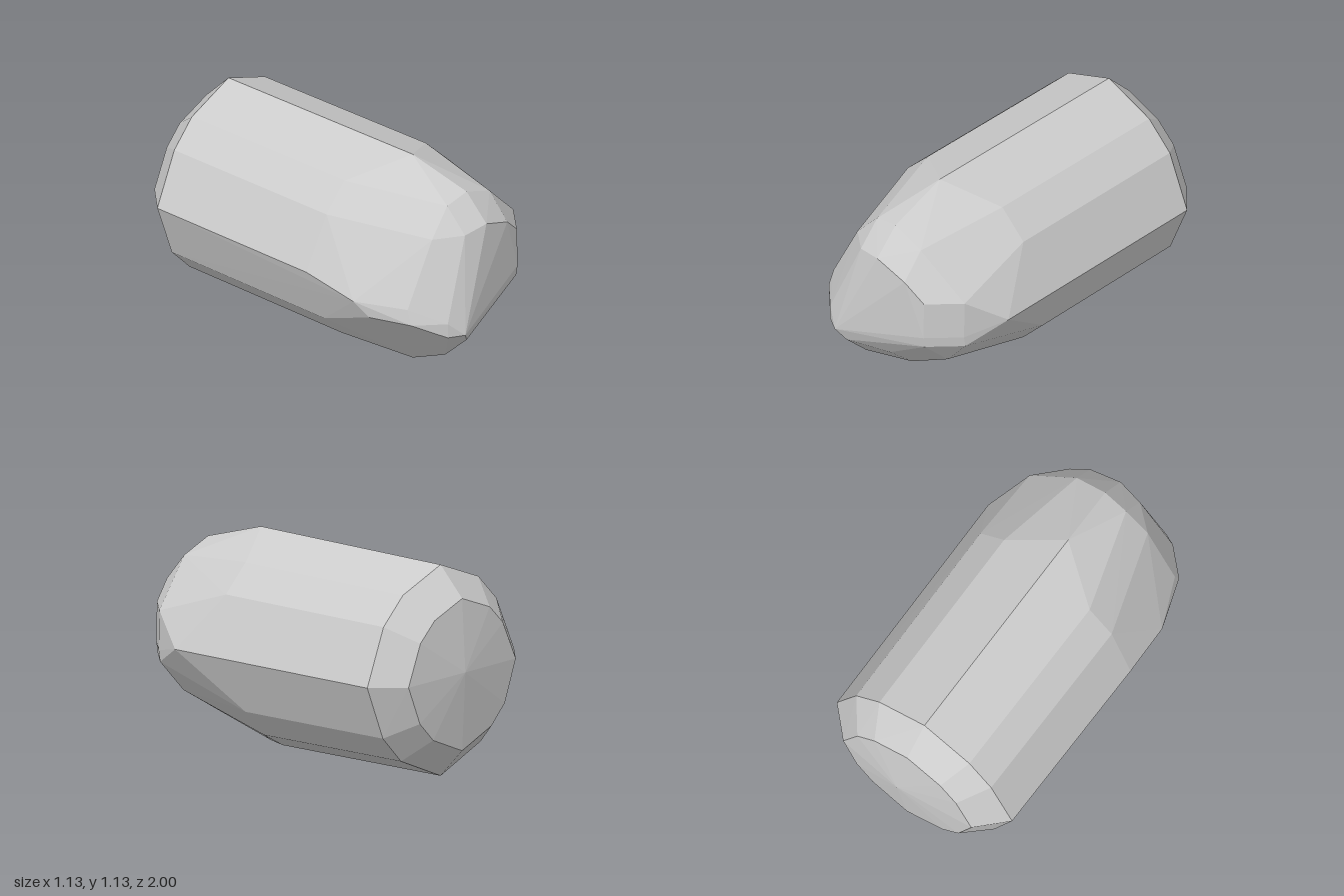
import * as THREE from 'three';
import { ConvexGeometry } from 'three/addons/geometries/ConvexGeometry.js';

// Body cross-section: x, y, and the z where each long edge ends at the nose
const section = [
  [0, 1.13, 0.45], [0.29, 1.015, 0.29], [0.44, 0.87, 0.29], [0.565, 0.565, 0.53],
  [0.445, 0.275, 0.15], [0.305, 0.13, 0.15], [0, 0.002, 0.3], [-0.31, 0.135, 0.24],
  [-0.45, 0.28, 0.24], [-0.565, 0.59, 0.22], [-0.43, 0.88, 0.24], [-0.29, 1.02, 0.24],
];

// Facet corners of the blunt, lopsided nose
const nose = [
  // crown
  [0.02, 1.03, 0.8], [0.02, 0.89, 0.935], [0.2, 0.96, 0.8], [0.2, 0.82, 0.92],
  [-0.12, 1.0, 0.79], [-0.12, 0.87, 0.91], [-0.25, 0.86, 0.8],
  // left cheek
  [0.31, 0.72, 0.89], [0.31, 0.51, 0.895], [0.31, 0.45, 0.885],
  [0.455, 0.72, 0.74], [0.455, 0.51, 0.745], [0.455, 0.45, 0.735],
  // right cheek
  [-0.545, 0.52, 0.52], [-0.43, 0.52, 0.79], [-0.435, 0.44, 0.82],
  [-0.51, 0.44, 0.6], [-0.3, 0.44, 0.95],
  // tip and chin
  [-0.22, 0.36, 1], [-0.3, 0.36, 0.95], [-0.17, 0.3, 0.965], [-0.17, 0.16, 0.82],
  [0.04, 0.27, 0.86], [0.04, 0.13, 0.7], [0.305, 0.28, 0.71],
  [-0.17, 0.062, 0.6], [-0.02, 0.01, 0.4],
];

export function createModel() {
  const group = new THREE.Group();
  const points = nose.map((p) => new THREE.Vector3(...p));
  const midY = 0.565;
  for (const [x, y, z] of section) {
    // Long edge, from the nose back to the shoulder
    points.push(new THREE.Vector3(x, y, z));
    points.push(new THREE.Vector3(x * 0.985, midY + (y - midY) * 0.985, -0.8));
    // Bevelled rear rim
    points.push(new THREE.Vector3(x * 0.72, midY + (y - midY) * 0.71, -0.95));
  }
  // Shallow peak of the rear face
  points.push(new THREE.Vector3(0.03, 0.59, -1));

  const body = new THREE.Mesh(
    new ConvexGeometry(points),
    new THREE.MeshStandardMaterial({ color: 0xcccccc, flatShading: true })
  );
  body.name = 'facetedBody';
  group.add(body);
  return group;
}
